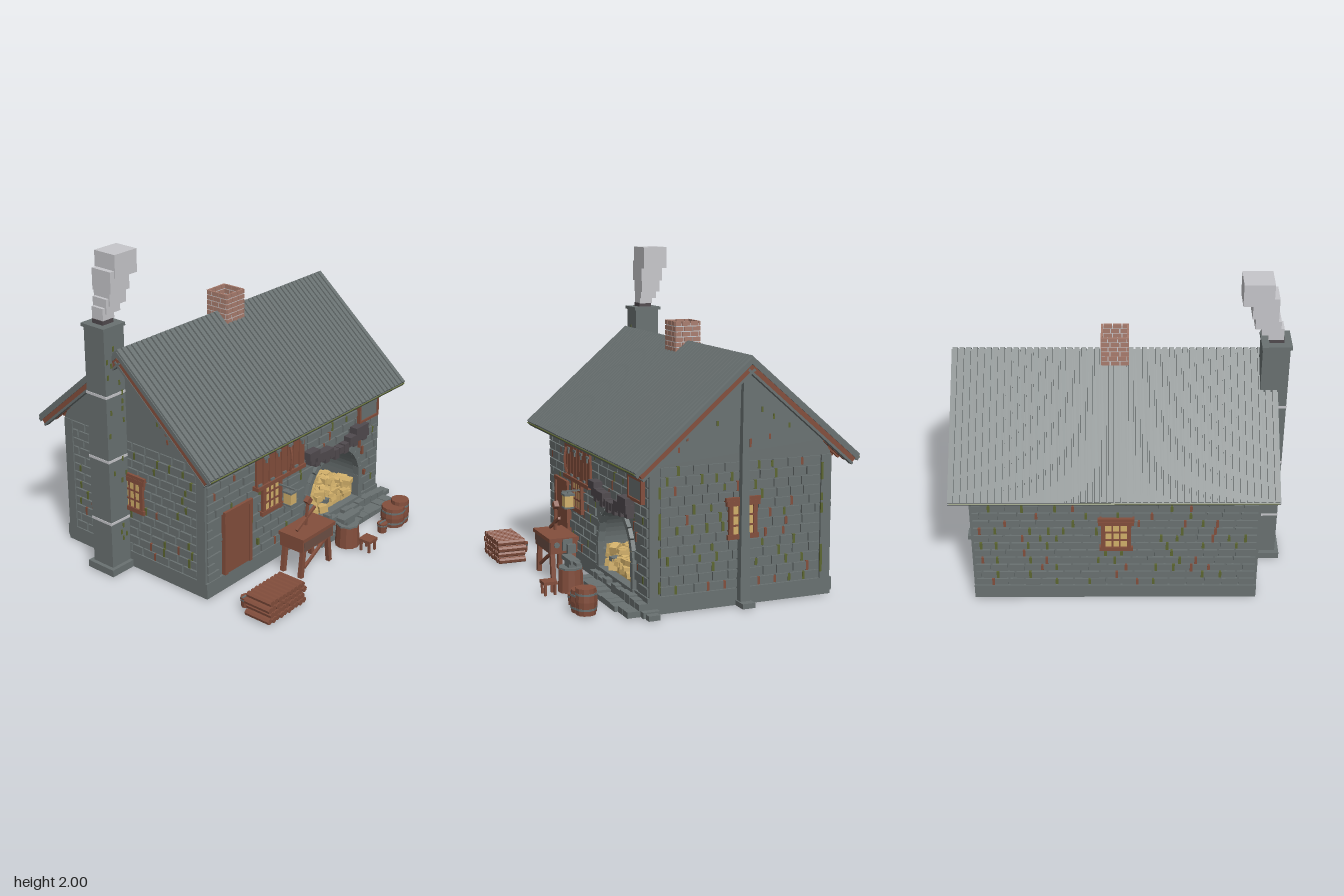
import * as THREE from 'three';
import { mergeGeometries } from 'three/addons/utils/BufferGeometryUtils.js';

const material = (name, color) => {
  const m = new THREE.MeshStandardMaterial({ color });
  m.name = name;
  return m;
};

export function createModel() {
  const stone = material('stone', 0x697171), soot = material('soot', 0x504a4e);
  const wood = material('wood', 0x834e3c), darkWood = material('dark wood', 0x6c4f44);
  const gold = material('gold', 0xd2b06a), brick = material('brick', 0xa97d6e);
  const moss = material('moss', 0x5c6630), smoke = material('smoke', 0xc6c6ca);
  const model = new THREE.Group();
  model.name = 'cottage';

  let seed = 7;
  const rnd = (a = 0, b = 1) => {
    seed = (seed * 16807) % 2147483647;
    return a + (b - a) * seed / 2147483647;
  };
  const box = (w, h, d, x, y, z, rz = 0, rx = 0, ry = 0) =>
    new THREE.BoxGeometry(w, h, d).rotateZ(rz).rotateX(rx).rotateY(ry).translate(x, y, z);
  // box given by its limits on each axis
  const span = (x0, x1, y0, y1, z0, z1) =>
    box(x1 - x0, y1 - y0, z1 - z0, (x0 + x1) / 2, (y0 + y1) / 2, (z0 + z1) / 2);
  const cyl = (r0, r1, h, x, y, z, n = 10) => new THREE.CylinderGeometry(r0, r1, h, n).translate(x, y, z);
  const add = (name, mat, geos, parent = model) => {
    const list = geos.map(g => (g.index ? g.toNonIndexed() : g));
    const mesh = new THREE.Mesh(mergeGeometries(list), mat);
    mesh.geometry.computeVertexNormals();
    mesh.name = name;
    parent.add(mesh);
  };
  const extrude = (shape, depth) => new THREE.ExtrudeGeometry(shape, { depth, bevelEnabled: false, curveSegments: 14 });

  // ---- Walls: core with an arch cut in the front
  const AX = 0.4, AY = 0.25, AR = 0.265;
  const arch = (P, r, y0) => new P().moveTo(AX - r, y0).lineTo(AX + r, y0).lineTo(AX + r, AY)
    .absarc(AX, AY, r, 0, Math.PI, false).lineTo(AX - r, y0);
  const front = new THREE.Shape().moveTo(-0.81, 0).lineTo(0.88, 0).lineTo(0.88, 0.86).lineTo(-0.81, 0.86);
  front.holes.push(arch(THREE.Path, AR, 0.1));
  add('wallCore', stone, [
    extrude(front, 0.04).translate(0, 0, 0.362),
    span(-0.81, 0.88, 0, 0.86, -0.742, -0.7),
    span(-0.81, -0.77, 0, 0.84, -0.7, 0.362), span(0.84, 0.88, 0, 0.84, -0.7, 0.362),
    span(-0.82, 0.89, 0, 0.02, -0.75, 0.41),
  ]);

  // Brick facing in running bond, with moss and rust in some joints
  const mossBits = [], rustBits = [];
  const facing = (width, rotY, x, z, size, skip = () => false) => {
    const out = [], rows = 13, h = 0.74 / rows;
    const place = g => g.rotateY(rotY).translate(x, 0, z);
    for (let r = 0; r < rows; r++) {
      const y = 0.1 + (r + 0.5) * h;
      let u = -width / 2, first = true;
      while (u < width / 2 - 0.005) {
        let w = size * rnd(0.85, 1.15) * (first && r % 2 ? 0.5 : 1);
        if (width / 2 - u - w < 0.04) w = width / 2 - u;
        const c = u + w / 2;
        if (!skip(c + x, y, w)) {
          out.push(place(box(w - 0.012, h - 0.009, 0.02 + rnd(0, 0.006), c, y, -0.002)));
          if (!first && rnd() < 0.42) {
            (rnd() < 0.66 ? mossBits : rustBits).push(place(box(0.016, h * rnd(0.6, 1), 0.016, u, y, 0.003)));
          }
        }
        first = false;
        u += w;
      }
    }
    return out;
  };
  const inArch = (x, y, w) => Math.abs(x - AX) < AR + w * 0.4 &&
    (y < AY || Math.hypot(Math.max(0, Math.abs(x - AX) - w * 0.4), y - AY) < AR + 0.02);
  const inDoor = (x, y, w) => y < 0.5 && x + w / 4 > -0.67 && x - w / 4 < -0.43;
  add('frontStones', stone, facing(1.7, 0, 0.035, 0.405, 0.13, (x, y, w) => inArch(x, y, w) || inDoor(x, y, w)));
  add('backBricks', stone, facing(1.7, Math.PI, 0.035, -0.745, 0.1));
  add('rightBricks', stone, facing(1.02, Math.PI / 2, 0.883, -0.17, 0.1));
  add('leftBricks', stone, facing(1.02, -Math.PI / 2, -0.813, -0.17, 0.1));

  // Streaks on the piers, gables and side chimney
  for (let i = 0; i < 20; i++) {
    const z = -0.17 + rnd(-0.4, 0.4), y = rnd(0.87, 1.3 - Math.abs(z + 0.17) * 0.9);
    (i % 2 ? mossBits : rustBits).push(box(0.008, 0.03, 0.012, i % 4 < 2 ? 0.885 : -0.82, y, z));
    mossBits.push(box(0.008, rnd(0.03, 0.07), 0.014, 0.894, rnd(0.15, 0.8), i % 2 ? 0.345 : -0.685));
    mossBits.push(box(0.012, 0.03, 0.008, rnd(-0.96, -0.83), rnd(0.1, 1.5), -0.21));
  }
  add('mossPatches', moss, mossBits);
  add('rustPatches', wood, rustBits);

  // Plinth and plain corner piers
  const trim = [span(-0.825, 0.135, 0, 0.1, 0.36, 0.418), span(0.665, 0.895, 0, 0.1, 0.36, 0.418),
    span(-0.825, 0.895, 0.022, 0.1, -0.758, -0.7)];
  for (const [a, b] of [[-0.825, -0.78], [0.85, 0.895]]) {
    trim.push(span(a, b, 0, 0.1, -0.75, 0.41), span(a, b, 0.1, 0.84, 0.34, 0.405), span(a, b, 0.1, 0.84, -0.745, -0.68));
  }
  add('plinthAndCorners', stone, trim);

  // Gables
  const gable = new THREE.Shape([[-0.575, 0.84], [0.575, 0.84], [0.53, 0.93], [0, 1.395], [-0.53, 0.93]]
    .map(p => new THREE.Vector2(...p)));
  add('gables', stone, [0.845, -0.82].map(x =>
    extrude(gable, 0.04).rotateY(Math.PI / 2).translate(x, 0, -0.17)));

  // Tapered gable post with foot
  add('gablePost', stone, [
    new THREE.CylinderGeometry(0.02, 0.045, 1.38, 4).rotateY(Math.PI / 4).translate(0.91, 0.69, -0.17),
    span(0.89, 0.99, 0, 0.03, -0.21, -0.13)]);

  // ---- Roof: corrugated sheets mitred at the ridge, with rails and rafters
  const L = 0.9, tilt = 0.709, ribs = 48, pitch = 1.92 / ribs;
  const sheet = new THREE.Shape().moveTo(0.96, 0).lineTo(0.96, 0.026);
  for (let i = ribs - 1; i >= 0; i--) {
    const x = -0.96 + i * pitch;
    sheet.lineTo(x + 0.035, 0.026).lineTo(x + 0.034, 0.037).lineTo(x + 0.006, 0.037).lineTo(x + 0.005, 0.026);
  }
  sheet.lineTo(-0.96, 0.026).lineTo(-0.96, 0);
  const mitred = () => {
    const g = extrude(sheet, L), p = g.attributes.position;
    for (let i = 0; i < p.count; i++) if (p.getZ(i) < 0.001) p.setZ(i, -p.getY(i) * Math.tan(tilt));
    return g;
  };
  for (const side of [0, 1]) {
    const roof = new THREE.Group();
    roof.name = side ? 'backRoof' : 'frontRoof';
    const lay = g => g.rotateX(tilt).rotateY(side * Math.PI).translate(0.04, 1.405, -0.17);
    add('roofSheet', stone, [lay(mitred()), lay(box(1.92, 0.024, 0.012, 0, 0.008, L + 0.002))], roof);
    add('eaveMoss', moss, [lay(box(1.9, 0.008, 0.006, 0, 0.023, L + 0.007))], roof);
    const tails = [], rails = [];
    for (let i = 0; i < 27; i++) tails.push(lay(box(0.022, 0.034, 0.18, -0.93 + i * 0.0715, -0.016, L - 0.1)));
    for (const s of [-1, 1]) {
      tails.push(lay(box(0.03, 0.03, L - 0.02, s * 0.94, -0.015, L / 2)));
      rails.push(lay(box(0.036, 0.014, L - 0.01, s * 0.94, -0.036, L / 2)));
    }
    add('rafters', wood, tails, roof);
    add('rakeRails', stone, rails, roof);
    model.add(roof);
  }

  // ---- Thin-walled brick chimney on the ridge, open at the top
  const chimBricks = [], chimMortar = [];
  for (let k = 0; k < 4; k++) {
    const put = g => g.rotateY(k * Math.PI / 2).translate(0.035, 0, -0.175);
    chimMortar.push(put(box(0.154, 0.176, 0.004, 0, 1.468, 0.077)));
    for (let r = 0; r < 6; r++) {
      const cuts = r % 2 ? [-0.083, -0.042, 0.014, 0.07, 0.083] : [-0.083, -0.028, 0.028, 0.083];
      for (let i = 0; i + 1 < cuts.length; i++) {
        const w = cuts[i + 1] - cuts[i];
        chimBricks.push(put(box(w - 0.006, 0.0265, 0.012, (cuts[i] + cuts[i + 1]) / 2, 1.394 + r * 0.0322, 0.077)));
      }
    }
  }
  add('ridgeChimneyBricks', brick, chimBricks);
  add('ridgeChimneyMortar', smoke, chimMortar);

  // ---- Stone side chimney with bands and smoke
  add('sideChimney', stone, [span(-0.975, -0.815, 0, 1.57, -0.37, -0.21),
    span(-1, -0.8, 0, 0.045, -0.395, -0.185), span(-0.985, -0.81, 1.565, 1.585, -0.385, -0.2)]);
  add('chimneyFlue', soot, [span(-0.94, -0.855, 1.58, 1.61, -0.335, -0.25)]);
  add('chimneyBands', smoke, [0.34, 0.75, 1.16].map(y => box(0.167, 0.016, 0.167, -0.895, y, -0.29)));
  add('smokePuffs', smoke, [[-0.89, 1.645, 0.09, 0.075], [-0.86, 1.69, 0.11, 0.09], [-0.83, 1.745, 0.13, 0.11],
    [-0.82, 1.83, 0.15, 0.13], [-0.775, 1.92, 0.175, 0.14]].map(([x, y, w, h], i) =>
    box(w, h, w * (i === 4 ? 0.92 : 0.98), x, y, -0.295)));

  // ---- Windows: gold panes behind thick timber
  const windowAt = (x, y, z, rotY) => {
    const g = new THREE.Group(), frame = [];
    g.name = 'window';
    add('panes', gold, [box(0.14, 0.18, 0.008, 0, 0, 0.02)], g);
    for (const s of [-1, 1]) {
      frame.push(box(0.026, 0.2, 0.035, s * 0.077, 0, 0.015), box(0.14, 0.011, 0.014, 0, s * 0.03, 0.022));
      frame.push(box(0.011, 0.18, 0.014, s * 0.022, 0, 0.022));
    }
    frame.push(box(0.21, 0.03, 0.05, 0, 0.1, 0.01), box(0.2, 0.028, 0.05, 0, -0.095, 0.01));
    add('windowFrame', wood, frame, g);
    if (z < 0.3) add('windowLintel', wood, [box(0.22, 0.025, 0.05, 0, 0.122, 0.008)], g);
    g.position.set(x, y, z);
    g.rotation.y = rotY;
    model.add(g);
  };
  windowAt(-0.24, 0.465, 0.402, 0);
  windowAt(0.03, 0.5, -0.739, Math.PI);
  windowAt(0.876, 0.5, -0.17, Math.PI / 2);
  windowAt(-0.806, 0.5, -0.17, -Math.PI / 2);

  // ---- Door, plank rack and wall panel
  add('doorLeaf', wood, [span(-0.655, -0.445, 0.1, 0.495, 0.395, 0.421)]);
  add('doorFrame', wood, [span(-0.675, -0.65, 0.1, 0.51, 0.39, 0.43), span(-0.45, -0.425, 0.1, 0.51, 0.39, 0.43),
    span(-0.675, -0.425, 0.49, 0.515, 0.39, 0.432)]);
  const planks = [], hooks = [];
  for (let i = 0; i < 8; i++) {
    const x = -0.382 + i * 0.0577;
    planks.push(box(0.05, 0.22, 0.016, x, 0.68, 0.44));
    if (i % 2) hooks.push(box(0.04, 0.014, 0.01, x, 0.752, 0.452), box(0.01, 0.03, 0.01, x, 0.732, 0.452));
    else hooks.push(box(0.03, 0.014, 0.01, x, 0.59, 0.452));
  }
  planks.push(span(-0.41, 0.05, 0.785, 0.81, 0.41, 0.46), span(-0.41, 0.05, 0.555, 0.58, 0.41, 0.46));
  add('toolRack', wood, planks);
  add('hangingTools', stone, hooks);
  const horn = new THREE.QuadraticBezierCurve3(new THREE.Vector3(-0.18, 0.79, 0.515),
    new THREE.Vector3(-0.18, 0.71, 0.54), new THREE.Vector3(-0.18, 0.63, 0.515));
  add('hangingHorn', wood, [new THREE.TubeGeometry(horn, 6, 0.008, 5)]);
  add('wallPanel', stone, [span(0.65, 0.84, 0.64, 0.76, 0.41, 0.43)]);
  add('panelFrame', wood, [span(0.64, 0.85, 0.755, 0.772, 0.41, 0.438), span(0.64, 0.85, 0.628, 0.645, 0.41, 0.438),
    span(0.64, 0.655, 0.645, 0.755, 0.41, 0.438), span(0.835, 0.85, 0.645, 0.755, 0.41, 0.438)]);

  // Lantern on a bracket
  add('lanternGlass', gold, [span(-0.2, -0.145, 0.41, 0.485, 0.485, 0.54)]);
  add('lanternIron', stone, [box(0.068, 0.012, 0.068, -0.172, 0.49, 0.512), box(0.064, 0.01, 0.064, -0.172, 0.407, 0.512),
    span(-0.177, -0.167, 0.505, 0.515, 0.41, 0.55), span(-0.175, -0.169, 0.49, 0.51, 0.509, 0.515)]);

  // ---- Arched hearth: vault, stone ring, hood blocks and golden pile
  const vault = arch(THREE.Shape, AR + 0.02, 0.08);
  vault.holes.push(arch(THREE.Path, AR, 0.1));
  add('hearthVault', stone, [extrude(vault, 0.32).translate(0, 0, 0.045)]);
  add('hearthBack', soot, [extrude(arch(THREE.Shape, AR + 0.02, 0.08), 0.02).translate(0, 0, 0.03)]);
  add('hearthTools', wood, [box(0.05, 0.012, 0.012, 0.36, 0.395, 0.06, 0.3), box(0.012, 0.03, 0.012, 0.42, 0.4, 0.06),
    box(0.05, 0.012, 0.012, 0.49, 0.395, 0.06, -0.3)]);
  const ring = [];
  for (let i = 0; i < 13; i++) {
    const a = (i + 0.5) * Math.PI / 13;
    ring.push(box(0.034, 0.063, 0.045, AX + Math.cos(a) * (AR + 0.014), AY + Math.sin(a) * (AR + 0.014), 0.405, a));
  }
  for (const s of [-1, 1]) ring.push(box(0.034, 0.15, 0.045, AX + s * (AR + 0.014), 0.175, 0.405));
  add('archStones', stone, ring);
  const hood = [];
  for (let i = 0; i < 12; i++) {
    const x = 0.125 + i * 0.05, h = 0.045 + (i % 2) * 0.02;
    hood.push(box(0.044, h, 0.05, x, 0.55 - h / 2 + 0.006 * Math.abs(i - 5.5), 0.435));
  }
  for (const [x, y, w] of [[0.13, 0.605, 0.1], [0.19, 0.57, 0.07], [0.27, 0.565, 0.1], [0.545, 0.565, 0.09], [0.6, 0.565, 0.12], [0.66, 0.57, 0.08], [0.63, 0.607, 0.13]])
    hood.push(box(w, 0.05, 0.07, x, y, 0.435));
  add('hearthHood', soot, hood);
  const pile = [], rubble = [];
  for (let i = 0; i < 150; i++) {
    const x = rnd(0.16, 0.64), top = 0.2 + 0.08 * (1 - Math.abs(x - AX) / 0.3);
    const chunk = box(rnd(0.025, 0.07), rnd(0.015, 0.05), rnd(0.03, 0.06), x, rnd(0.13, top), rnd(0.2, 0.4), rnd(-0.3, 0.3), 0, rnd(0, 3));
    (i % 9 ? pile : rubble).push(chunk);
  }
  pile.push(span(0.36, 0.41, 0.15, 0.3, 0.25, 0.29), span(0.44, 0.47, 0.15, 0.27, 0.28, 0.32), span(0.54, 0.64, 0.1, 0.235, 0.28, 0.38),
    span(0.14, 0.66, 0.1, 0.2, 0.12, 0.375));
  add('goldenPile', gold, pile);
  add('hearthRubble', stone, rubble);
  const step = [span(0.1, 0.7, 0, 0.1, 0.3, 0.43)];
  for (let i = 0; i < 11; i++) {
    const x = 0.1 + i * 0.073;
    step.push(span(x, x + 0.068, 0, rnd(0.06, 0.085), 0.41, 0.47), span(x, x + 0.068, 0, rnd(0.03, 0.05), 0.46, i < 9 ? 0.56 : 0.54));
  }
  step.push(span(0.9, 0.94, 0, 0.035, 0.36, 0.46), span(0.95, 0.995, 0, 0.03, 0.38, 0.45));
  add('hearthStep', stone, step);

  // ---- Log pile
  const logs = [];
  for (let r = 0; r < 4; r++) for (let i = 0; i < 10 - (r % 2); i++)
    logs.push(new THREE.CylinderGeometry(0.019, 0.019, 0.18 + rnd(-0.006, 0.006), 7).rotateX(Math.PI / 2)
      .translate(-0.8 + i * 0.035 + (r % 2) * 0.0175, 0.02 + r * 0.037, 0.785));
  add('logPile', wood, logs);

  // ---- Workbench with vise and mallet
  const bench = [span(-0.285, 0.035, 0.245, 0.268, 0.515, 0.705), span(-0.275, 0.025, 0.17, 0.245, 0.52, 0.695)];
  for (const s of [-1, 1]) for (const z of [0.54, 0.675])
    bench.push(box(0.028, 0.19, 0.028, -0.125 + s * 0.13, 0.09, z, s * 0.12));
  bench.push(box(0.25, 0.016, 0.016, -0.125, 0.11, 0.675, 0.5));
  add('workbench', wood, bench);
  add('benchPanel', darkWood, [span(-0.265, 0.015, 0.178, 0.245, 0.69, 0.698)]);
  add('benchMallet', wood, [box(0.2, 0.016, 0.016, -0.14, 0.325, 0.61, 0.5), box(0.04, 0.04, 0.03, -0.12, 0.44, 0.61, 0.7),
    box(0.014, 0.16, 0.014, -0.13, 0.36, 0.61, -0.1)]);
  add('benchVise', stone, [span(0.02, 0.045, 0.19, 0.26, 0.56, 0.62), span(0.04, 0.12, 0.2, 0.225, 0.58, 0.6), span(0.095, 0.12, 0.19, 0.245, 0.565, 0.615),
    cyl(0.018, 0.018, 0.012, 0, 0, 0, 8).rotateZ(Math.PI / 2).translate(0.03, 0.225, 0.655)]);

  // ---- Anvil on a stump, stool, barrels and buckets
  add('anvilStump', wood, [cyl(0.072, 0.078, 0.14, 0.25, 0.07, 0.645, 12)]);
  add('anvil', stone, [cyl(0.074, 0.074, 0.012, 0.25, 0.144, 0.645, 8), span(0.21, 0.29, 0.15, 0.18, 0.62, 0.67),
    span(0.17, 0.34, 0.18, 0.205, 0.615, 0.675), span(0.33, 0.4, 0.185, 0.203, 0.63, 0.66)]);
  const stool = [box(0.085, 0.018, 0.085, 0.27, 0.075, 0.79)];
  for (const a of [-1, 1]) for (const b of [-1, 1]) stool.push(box(0.014, 0.07, 0.014, 0.27 + a * 0.03, 0.035, 0.79 + b * 0.03));
  add('stool', wood, stool);
  const barrel = (x, z, r, h) => {
    const profile = [[0, 0], [0.92, 0], [1, 0.5], [0.92, 1], [0, 1]];
    add('barrel', wood, [new THREE.LatheGeometry(profile.map(([a, b]) => new THREE.Vector2(a * r, b * h)), 12).translate(x, 0, z)]);
    add('barrelHoops', stone, [0.22, 0.78].map(t => cyl(r * 0.985, r * 0.985, 0.012, x, h * t, z, 12)));
  };
  barrel(0.66, 0.71, 0.08, 0.13);
  barrel(0.72, 0.72, 0.062, 0.155);
  add('buckets', wood, [cyl(0.034, 0.028, 0.065, 0.52, 0.033, 0.725), cyl(0.034, 0.028, 0.065, -0.73, 0.033, 0.635)]);
  add('bucketFittings', stone, [[0.52, 0.725], [-0.73, 0.635]].flatMap(([x, z]) =>
    [box(0.066, 0.006, 0.01, x, 0.07, z), cyl(0.035, 0.034, 0.01, x, 0.05, z)]));
  return model;
}
